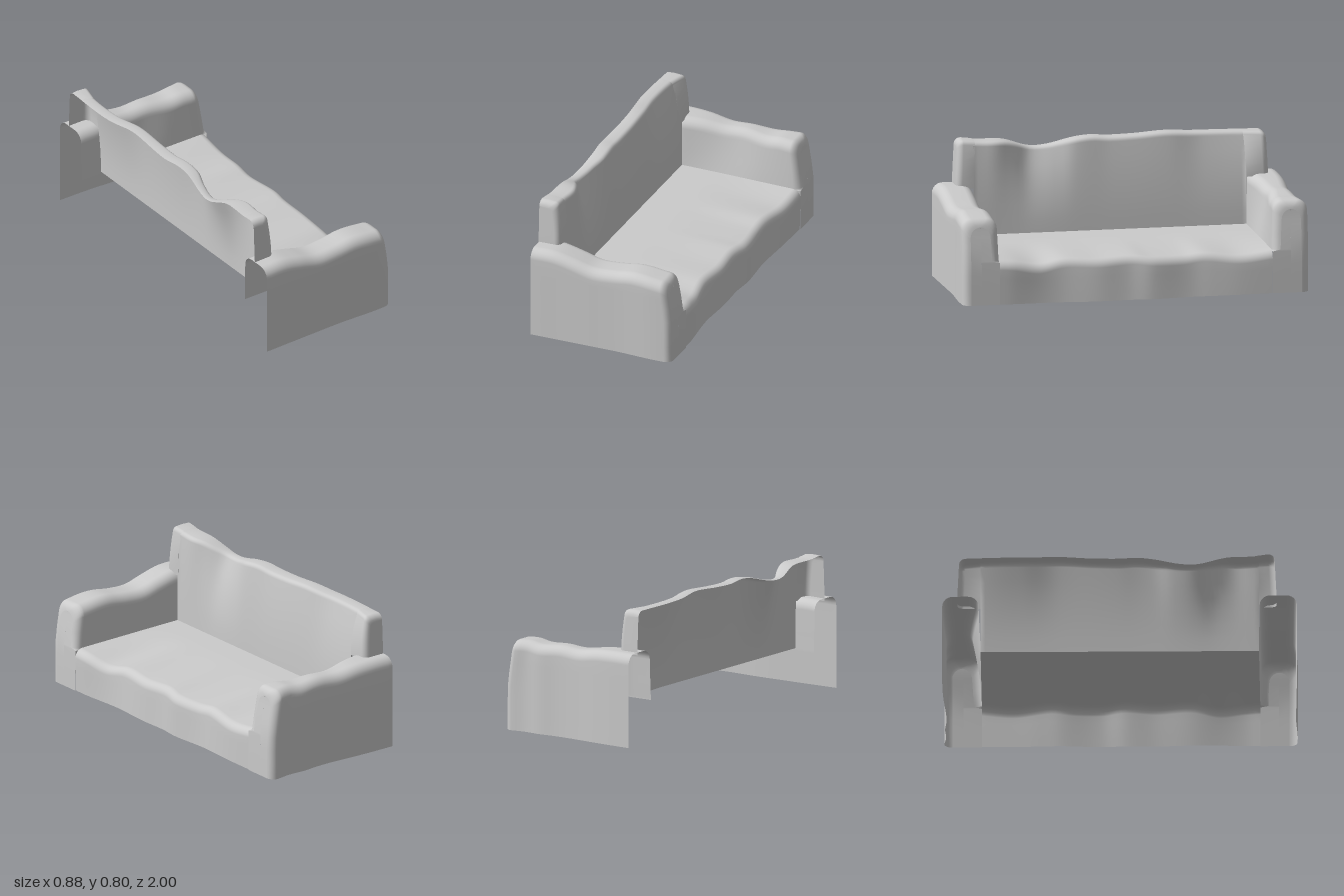
import * as THREE from 'three';

const material = new THREE.MeshStandardMaterial({ color: 0xcccccc, side: THREE.DoubleSide });

// Smooth curve through [position, value] pairs (cubic Hermite).
function wave(pts) {
  const slope = (i) => {
    const a = pts[Math.max(i - 1, 0)], b = pts[Math.min(i + 1, pts.length - 1)];
    return (b[1] - a[1]) / (b[0] - a[0]);
  };
  return (u) => {
    if (u <= pts[0][0]) return pts[0][1];
    if (u >= pts[pts.length - 1][0]) return pts[pts.length - 1][1];
    const i = pts.findIndex((p) => p[0] > u) - 1;
    const [x0, y0] = pts[i], [x1, y1] = pts[i + 1];
    const h = x1 - x0, t = (u - x0) / h, t2 = t * t, t3 = t2 * t;
    return (2 * t3 - 3 * t2 + 1) * y0 + (t3 - 2 * t2 + t) * h * slope(i)
      + (3 * t2 - 2 * t3) * y1 + (t3 - t2) * h * slope(i + 1);
  };
}

const range = (a, b, n) => Array.from({ length: n + 1 }, (_, i) => a + (b - a) * i / n);

// Skin a list of equal-length rows of [x, y, z] points.
function skin(name, rows, flip = false) {
  const n = rows[0].length, index = [];
  for (let r = 0; r < rows.length - 1; r++) {
    for (let c = 0; c < n - 1; c++) {
      const a = r * n + c, b = a + 1, d = a + n, e = d + 1;
      if (flip) index.push(a, b, d, b, e, d);
      else index.push(a, d, b, b, d, e);
    }
  }
  const geometry = new THREE.BufferGeometry();
  geometry.setAttribute('position', new THREE.Float32BufferAttribute(rows.flat(2), 3));
  geometry.setIndex(index);
  geometry.computeVertexNormals();
  const mesh = new THREE.Mesh(geometry, material);
  mesh.name = name;
  return mesh;
}

const INNER = 0.785, SEAT = 0.26, BACK = -0.3;

// Front panel rolling over into the seat, wavy along its front edge.
function seat() {
  const front = wave([[-0.8, 0.435], [-0.6, 0.425], [-0.45, 0.41], [-0.33, 0.4], [-0.1, 0.42], [0.03, 0.4],
    [0.2, 0.405], [0.43, 0.39], [0.7, 0.432], [0.8, 0.435]]);
  const edge = wave([[-0.8, 0.258], [-0.6, 0.235], [-0.4, 0.252], [-0.28, 0.238], [-0.1, 0.242], [0, 0.252],
    [0.2, 0.242], [0.4, 0.247], [0.55, 0.222], [0.7, 0.25], [0.8, 0.26]]);
  const foot = wave([[-0.8, 0.01], [-0.4, 0.004], [0.3, 0], [0.5, 0.004], [0.8, 0.01]]);
  const r = 0.05;
  const rows = range(-INNER, INNER, 64).map((z) => {
    const f = front(z), top = edge(z), low = foot(z), row = [];
    const base = 0.42 + (f - 0.42) * 0.6;
    for (const t of range(0, 1, 4)) row.push([base + (f - base) * t, low + (top - r - low) * t, z]);
    for (const a of range(0, Math.PI / 2, 6).slice(1)) {
      row.push([f - r + r * Math.cos(a), top - r + r * Math.sin(a), z]);
    }
    for (const t of range(0, 1, 10).slice(1)) {
      row.push([f - r + (BACK - f + r) * t, top + (SEAT - top) * Math.min(1, t * 1.5), z]);
    }
    return row;
  });
  return skin('seat', rows, true);
}

// Hollow armrest: open behind and below, with a rounded top and front.
function arm(name, side, top, outer, lean) {
  const nose = 0.435, R = 0.045, r = 0.06;
  const section = (x, inset, isFront) => {
    const h = top(x) - inset, zo = outer(x) - inset, zi = INNER + inset, zt = zi + lean(x);
    const pts = [0.01, 0.1, 0.18, 0.26, 0.34, 0.4].map((y) => [zo, y]);
    for (const a of range(0, Math.PI / 2, 6)) pts.push([zo - r + r * Math.cos(a), h - r + r * Math.sin(a)]);
    for (const a of range(Math.PI / 2, Math.PI, 6)) pts.push([zt + r + r * Math.cos(a), h - r + r * Math.sin(a)]);
    pts.push([(zi + zt) / 2, 0.35], [zi, SEAT]);
    for (const y of [SEAT - 0.01, 0.18, 0.1, 0.01]) pts.push([INNER, isFront ? y : SEAT - 0.01]);
    return pts;
  };
  const place = (x, pts) => pts.map(([z, y]) => {
    const slant = 0.035 * THREE.MathUtils.smoothstep(y, 0.22, 0.54) * THREE.MathUtils.smoothstep(x, 0.2, nose);
    return [x - slant, y, side * z];
  });
  const rows = range(-0.43, nose - R, 28).map((x) => place(x, section(x, 0, false)));
  for (const a of range(0, Math.PI / 2, 6).slice(1)) {
    rows.push(place(nose - R + R * Math.sin(a), section(nose - R, R * (1 - Math.cos(a)), a > 1.5)));
  }
  // Close the front toward its centre line.
  const last = section(nose - R, R, true);
  rows.push(place(nose, last), place(nose, last.map(([z, y]) => [0.89, Math.min(y, top(nose) - R - 0.01)])));
  return skin(name, rows, side < 0);
}

// Backrest shell: leaning front, wavy top and closed ends, open behind.
function backrest() {
  const crest = wave([[-0.92, 0.78], [-0.5, 0.785], [-0.33, 0.797], [-0.15, 0.786], [0, 0.782], [0.1, 0.79],
    [0.2, 0.78], [0.35, 0.742], [0.45, 0.738], [0.6, 0.785], [0.75, 0.79], [0.85, 0.8]]);
  const face = wave([[-0.92, -0.31], [-0.8, -0.35], [-0.55, -0.36], [-0.35, -0.335], [0, -0.335], [0.2, -0.33],
    [0.3, -0.36], [0.45, -0.385], [0.55, -0.34], [0.65, -0.308], [0.75, -0.315], [0.88, -0.32]]);
  const rear = wave([[-0.92, -0.43], [-0.55, -0.44], [-0.3, -0.412], [0, -0.42], [0.2, -0.41], [0.45, -0.44],
    [0.6, -0.42], [0.88, -0.432]]);
  const R = 0.035, zMin = -0.915, zMax = 0.885, r = 0.025;
  const section = (z, inset, closed) => {
    const low = Math.abs(z) > INNER ? 0.53 : SEAT, top = crest(z) - inset;
    const xb = rear(z), xf = face(z) - inset, x0 = BACK - inset, pts = [];
    for (const t of range(0, 1, 6)) pts.push([x0 + (xf - x0) * t * t, low + (top - r - low) * t]);
    for (const a of range(0, Math.PI / 2, 5).slice(1)) pts.push([xf - r + r * Math.cos(a), top - r + r * Math.sin(a)]);
    pts.push([(xf - r + xb) / 2, top + 0.003], [xb, top]);
    return pts.map(([x, y]) => [closed ? xb : x, y, z - Math.sign(z) * 0.012 * Math.max(0, (y - 0.545) / 0.25) * (low > 0.5)]);
  };
  const angles = range(0, Math.PI / 2, 5);
  const end = (z, dir) => angles.map((a) => section(z - dir * R * (1 - Math.sin(a)), R * (1 - Math.cos(a)), false));
  const rows = [section(zMin, R, true), ...end(zMin, -1).reverse()];
  rows.push(section(-INNER - 0.001, 0, false));
  for (const z of range(-INNER, INNER, 60)) rows.push(section(z, 0, false));
  rows.push(section(INNER + 0.001, 0, false), ...end(zMax, 1), section(zMax, R, true));
  return skin('backrest', rows);
}

export function createModel() {
  const group = new THREE.Group();
  group.name = 'sofa';
  const dippedTop = wave([[-0.43, 0.545], [-0.3, 0.545], [-0.18, 0.52], [-0.06, 0.49], [0.07, 0.496], [0.2, 0.513],
    [0.4, 0.498]]);
  const highTop = wave([[-0.43, 0.545], [-0.3, 0.545], [-0.19, 0.54], [-0.06, 0.523], [0.07, 0.53], [0.2, 0.521],
    [0.3, 0.532], [0.4, 0.53]]);
  const nearSide = wave([[-0.43, 1], [-0.1, 0.993], [0.1, 0.99], [0.3, 0.997], [0.4, 0.995]]);
  const farSide = wave([[-0.43, 1], [-0.25, 0.997], [0, 0.982], [0.1, 0.982], [0.2, 0.99], [0.3, 0.985], [0.4, 0.998]]);
  const farLean = wave([[-0.3, 0.01], [0, 0.045], [0.2, 0.025], [0.4, 0.01]]);
  group.add(
    seat(),
    backrest(),
    arm('rightArmrest', 1, dippedTop, nearSide, () => 0.005),
    arm('leftArmrest', -1, highTop, farSide, farLean),
  );
  return group;
}
